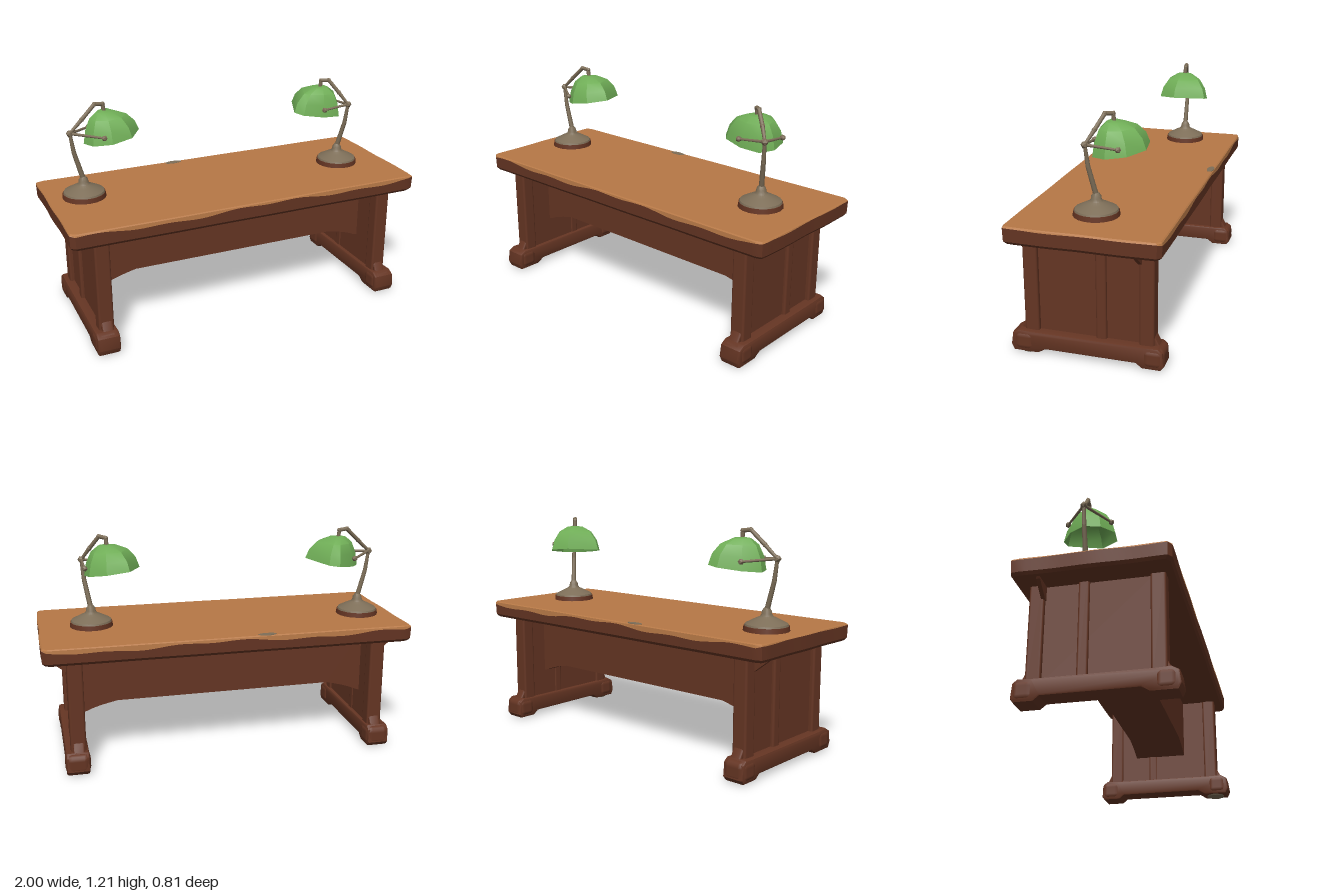
import * as THREE from 'three';
import { toCreasedNormals } from 'three/addons/utils/BufferGeometryUtils.js';
import { RoundedBoxGeometry } from 'three/addons/geometries/RoundedBoxGeometry.js';

const mat = (name, color, extra = {}) => {
  const m = new THREE.MeshStandardMaterial({ color, ...extra });
  m.name = name;
  return m;
};

export function createModel() {
  const wood = mat('dark wood', 0x653523);
  const top = mat('worn light wood', 0xb67846);
  const metal = mat('aged brass', 0x7d6e58);
  const green = mat('green shade', 0x70ae57, { side: THREE.DoubleSide });
  const model = new THREE.Group();
  model.name = 'deskWithLamps';

  const add = (parent, name, geo, material) => {
    const mesh = new THREE.Mesh(geo, material);
    mesh.name = name;
    parent.add(mesh);
    return mesh;
  };
  // softened box given by its extents
  const box = (parent, name, x0, x1, y0, y1, z0, z1, r = 0.012) => {
    const m = add(parent, name, new RoundedBoxGeometry(x1 - x0, y1 - y0, z1 - z0, 2, r), wood);
    m.position.set((x0 + x1) / 2, (y0 + y1) / 2, (z0 + z1) / 2);
  };
  // skin between closed rings of points, listed bottom to top
  const loft = (rings, crease) => {
    const pos = [], n = rings[0].length;
    for (let k = 0; k < rings.length - 1; k++) {
      for (let i = 0; i < n; i++) {
        const j = (i + 1) % n;
        const a = rings[k][i], b = rings[k][j], c = rings[k + 1][j], d = rings[k + 1][i];
        pos.push(...a, ...c, ...b, ...a, ...d, ...c);
      }
    }
    const g = new THREE.BufferGeometry();
    g.setAttribute('position', new THREE.Float32BufferAttribute(pos, 3));
    g.computeVertexNormals();
    return toCreasedNormals(g, crease);
  };
  // profile in (z, y), extruded along x
  const extrudeX = (pts, x0, x1) => {
    const g = new THREE.ExtrudeGeometry(new THREE.Shape(pts.map(p => new THREE.Vector2(...p))), {
      depth: x1 - x0 - 0.024, bevelEnabled: true, bevelThickness: 0.012, bevelSize: 0.01, bevelOffset: -0.01, bevelSegments: 2,
    });
    g.rotateY(-Math.PI / 2);
    g.translate(x1 - 0.012, 0, 0);
    return toCreasedNormals(g, 0.6);
  };

  // tabletop: rounded rectangle outline with a slightly worn edge
  const W = 0.997, D = 0.394, R = 0.025;
  const rect = new THREE.Shape();
  rect.moveTo(W - R, -D).quadraticCurveTo(W, -D, W, R - D).lineTo(W, D - R).quadraticCurveTo(W, D, W - R, D)
    .lineTo(R - W, D).quadraticCurveTo(-W, D, -W, D - R).lineTo(-W, R - D).quadraticCurveTo(-W, -D, R - W, -D);
  rect.closePath();
  const outline = rect.getSpacedPoints(160).slice(0, 160).map(p => {
    const worn = 1 + 0.002 * Math.sin(p.x * 11 + p.y * 17);
    return [p.x * worn, p.y * worn];
  });
  const ring = (inset, yOf, shrink = 1) => outline.map(([x, z]) => [
    (x - Math.sign(x) * inset) * shrink, yOf(x, z), (z - Math.sign(z) * inset) * shrink - 0.006]);
  const seam = (x, z) => {
    const wave = 0.008 * Math.sin(x * 6 + 1.1) + 0.005 * Math.sin(x * 17 + z * 9) + 0.005 * Math.sin(z * 13 + 2);
    const y = Math.abs(x) > 0.985 ? 0.7 + 0.4 * wave : 0.688 + wave;
    return Math.min(0.703, Math.max(0.668, y));
  };
  add(model, 'tabletopEdge', loft([
    ring(0, () => 0.62, 0.001), ring(0.014, () => 0.62), ring(0.002, () => 0.635), ring(0, seam)], 0.6), wood);
  add(model, 'tabletopSurface', loft([
    ring(0, seam), ring(0.002, () => 0.706), ring(0.008, () => 0.711), ring(0, () => 0.711, 0.001)], 0.3), top);
  const chip = add(model, 'tabletopChip', new THREE.CylinderGeometry(0.05, 0.05, 0.003, 14), metal);
  chip.scale.z = 0.4;
  chip.position.set(-0.18, 0.711, -0.378);

  // end frames: foot beam, posts, stile, recessed panel
  const footProfile = [[-0.392, 0.03], [-0.375, 0.008], [-0.28, 0.008], [-0.25, 0.032], [0.22, 0.032], [0.26, 0.008],
    [0.39, 0.008], [0.405, 0.04], [0.395, 0.105], [0.36, 0.125], [0.29, 0.122], [-0.29, 0.122], [-0.36, 0.125], [-0.385, 0.105]];
  for (const s of [1, -1]) {
    const end = new THREE.Group();
    end.name = s > 0 ? 'leftEndFrame' : 'rightEndFrame';
    const span = (a, b) => (s > 0 ? [a, b] : [-b, -a]);
    add(end, 'footBeam', extrudeX(footProfile, ...span(0.778, 0.9)), wood);
    for (const f of [1, -1]) {
      box(end, 'footBlock', ...span(0.772, 0.905), 0.01, 0.122, f * 0.335 - 0.058, f * 0.335 + 0.058, 0.035);
      box(end, 'post', ...span(0.79, 0.872), 0.1, 0.63, f * 0.298 - 0.038, f * 0.298 + 0.038);
      // small fillet where post meets foot
      add(end, 'postFillet', extrudeX([[f * 0.32, 0.115], [f * 0.365, 0.115], [f * 0.33, 0.18]], ...span(0.8, 0.86)), wood);
    }
    box(end, 'endPanel', ...span(0.8, 0.848), 0.1, 0.63, -0.28, 0.28, 0.006);
    box(end, 'middleStile', ...span(0.795, 0.866), 0.1, 0.63, -0.092, -0.038);
    // thin gusset under the overhang
    const gusset = new THREE.Shape();
    gusset.moveTo(s * 0.85, 0.625).lineTo(s * 0.965, 0.625).lineTo(s * 0.955, 0.61).lineTo(s * 0.87, 0.545).lineTo(s * 0.85, 0.545);
    const gussetGeo = new THREE.ExtrudeGeometry(gusset, { depth: 0.02, bevelEnabled: false });
    gussetGeo.translate(0, 0, -0.275);
    add(end, 'gusset', gussetGeo, wood);
    model.add(end);
  }
  const scuff = add(model, 'footScuff', new THREE.CylinderGeometry(0.055, 0.05, 0.008, 10), metal);
  scuff.position.set(0.84, 0.006, 0.32);

  // apron with ends that sweep down to the frames
  const apron = new THREE.Shape();
  apron.moveTo(-0.81, 0.63).lineTo(0.81, 0.63).lineTo(0.81, 0.27).lineTo(0.77, 0.28)
    .quadraticCurveTo(0.72, 0.305, 0.6, 0.328).lineTo(-0.6, 0.332)
    .quadraticCurveTo(-0.72, 0.305, -0.77, 0.28).lineTo(-0.81, 0.265);
  const apronGeo = new THREE.ExtrudeGeometry(apron, { depth: 0.305, bevelEnabled: false, curveSegments: 6 });
  apronGeo.translate(0, 0, -0.17);
  add(model, 'apron', toCreasedNormals(apronGeo, 0.6), wood);

  // lamp, reaching along its own +x; pull draws the shade nearer the stem
  const v = (x, y, z) => new THREE.Vector3(x, y, z);
  const rod = (parent, name, a, b, r0, r1 = r0) => {
    const d = b.clone().sub(a);
    const m = add(parent, name, new THREE.CylinderGeometry(r1, r0, d.length(), 8), metal);
    m.position.copy(a).addScaledVector(d, 0.5);
    m.quaternion.setFromUnitVectors(v(0, 1, 0), d.normalize());
  };
  const knob = (parent, name, p, r) => add(parent, name, new THREE.IcosahedronGeometry(r, 0), metal).position.copy(p);
  const makeLamp = (name, x, z, turn, pull) => {
    const lamp = new THREE.Group();
    lamp.name = name;
    add(lamp, 'basePad', new THREE.CylinderGeometry(0.114, 0.118, 0.028, 20), wood).position.y = 0.722;
    const profile = [[0.112, 0.734], [0.108, 0.745], [0.06, 0.77], [0.034, 0.782], [0.026, 0.795], [0.025, 0.808], [0.014, 0.825], [0, 0.825]];
    add(lamp, 'base', toCreasedNormals(new THREE.LatheGeometry(profile.map(p => new THREE.Vector2(...p)), 20), 0.6), metal);

    const joint = v(-0.055, 1.07, 0), bend = v(-0.04, 0.96, 0);
    rod(lamp, 'stemLower', v(0, 0.81, 0), bend, 0.014, 0.012);
    rod(lamp, 'stemUpper', bend, joint, 0.012, 0.009);
    knob(lamp, 'stemJoint', joint, 0.02);
    const arm = [joint, v(0.015 - pull / 2, 1.135, -0.008), v(0.09 - pull, 1.205, -0.022),
      v(0.135 - pull, 1.2, -0.027), v(0.14 - pull, 1.155, -0.025)];
    for (let i = 0; i < 4; i++) {
      rod(lamp, 'upperArm', arm[i], arm[i + 1], i === 0 ? 0.008 : 0.011, 0.011);
      if (i > 0) knob(lamp, 'armJoint', arm[i], 0.014);
    }
    for (const tip of [v(0.1 - pull, 1.055, 0.105), v(0.075 - pull, 1.055, -0.12)]) {
      rod(lamp, 'forkArm', joint, tip, 0.008, 0.006);
      knob(lamp, 'forkKnob', tip, 0.016);
    }

    // faceted shade: tilted rim shrinking to an offset crown
    const rim = [[0.02, -0.02], [0.08, -0.11], [0.18, -0.175], [0.24, -0.17], [0.32, 0], [0.25, 0.1], [0.14, 0.115], [0.05, 0.06]];
    const steps = [[1, 0], [0.89, 0.42], [0.66, 0.77], [0.32, 0.96], [0.001, 1]];
    const rings = steps.map(([s, t]) => rim.map(([px, pz]) => {
      const y0 = 0.998 + 0.16 * (px - 0.02);
      return [0.13 - pull + (px - 0.13) * s, y0 + (1.168 - y0) * t, -0.025 + (pz + 0.025) * s];
    }));
    add(lamp, 'shade', loft(rings, 0.5), green);

    lamp.position.set(x, 0, z);
    lamp.rotation.y = turn;
    model.add(lamp);
  };
  makeLamp('rightLamp', -0.8, -0.08, 0, 0);
  makeLamp('leftLamp', 0.71, 0.003, 2.3, 0.03);

  return model;
}
